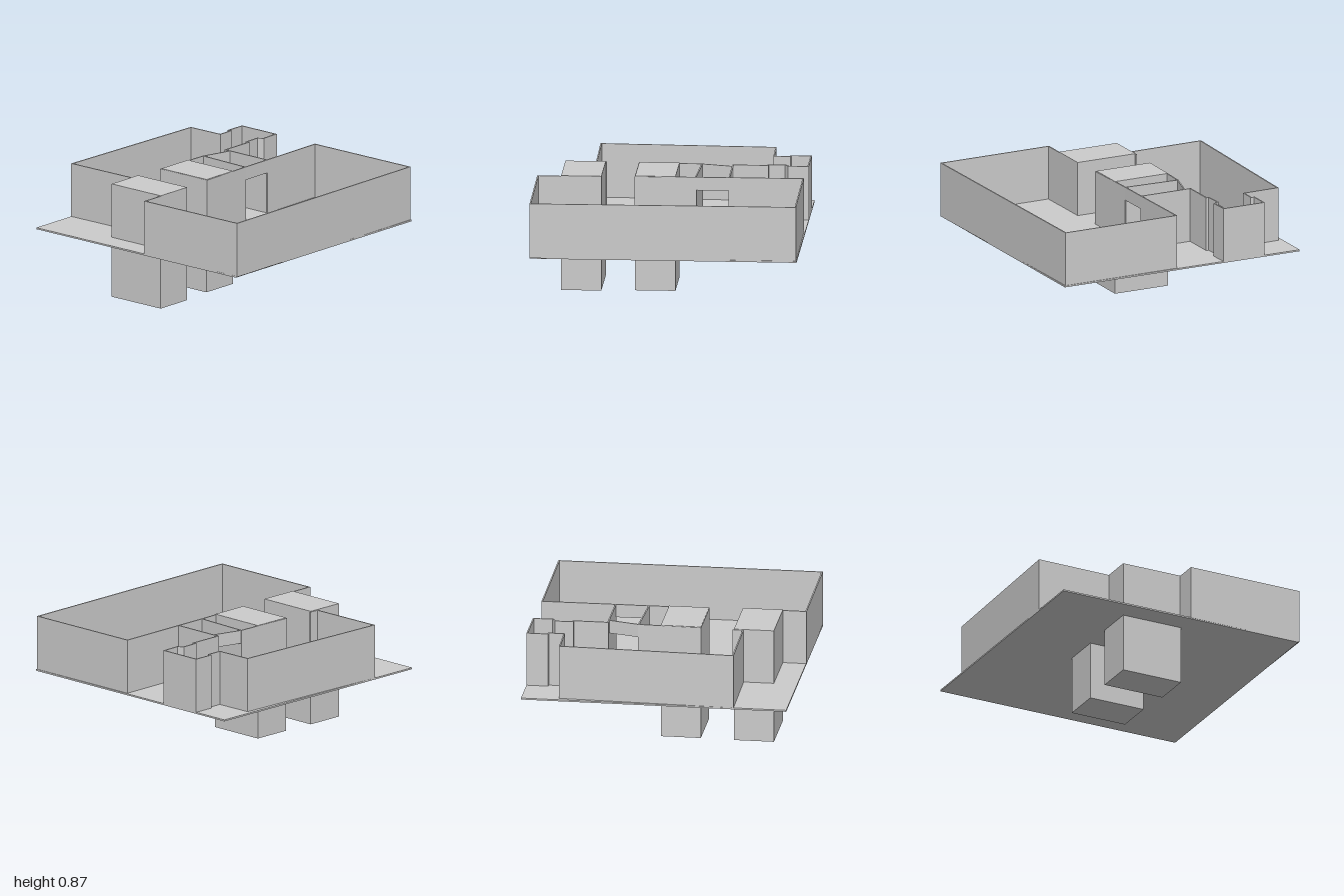
import * as THREE from 'three';

const FLOOR = 0.455, TOP = 0.87, DOOR_TOP = 0.77, THICK = 0.01;

export function createModel() {
  const model = new THREE.Group();
  const material = new THREE.MeshStandardMaterial({ color: 0xcccccc, flatShading: true });

  const add = (name, geometry) => {
    const mesh = new THREE.Mesh(geometry, material);
    mesh.name = name;
    model.add(mesh);
  };

  // Box given by its limits on each axis
  const block = (name, x0, x1, y0, y1, z0, z1) => {
    const g = new THREE.BoxGeometry(x1 - x0, y1 - y0, z1 - z0);
    add(name, g.translate((x0 + x1) / 2, (y0 + y1) / 2, (z0 + z1) / 2));
  };

  // Thin wall with mitred corners along a floor-plan path of [x, z] points
  const wall = (name, path, bottom = FLOOR) => {
    const pts = path.map(([x, z]) => new THREE.Vector2(x, -z));
    const normal = (a, b) => {
      const d = b.clone().sub(a).normalize();
      return new THREE.Vector2(-d.y, d.x);
    };
    const left = [], right = [];
    pts.forEach((p, i) => {
      const before = i > 0 ? normal(pts[i - 1], p) : normal(p, pts[i + 1]);
      const after = i < pts.length - 1 ? normal(p, pts[i + 1]) : before;
      const mitre = before.clone().add(after).normalize();
      mitre.multiplyScalar(THICK / 2 / mitre.dot(before));
      left.push(p.clone().add(mitre));
      right.unshift(p.clone().sub(mitre));
    });
    const g = new THREE.ExtrudeGeometry(new THREE.Shape([...left, ...right]),
      { depth: TOP - bottom, bevelEnabled: false });
    add(name, g.rotateX(-Math.PI / 2).translate(0, bottom, 0));
  };

  // Floor slab and the two shafts passing through it
  block('floor', -0.995, 0.995, 0.448, 0.46, -0.99, 0.975);
  block('leftShaft', -0.27, 0.03, 0, 0.873, -0.39, 0.055);
  block('rightShaft', -0.82, -0.52, 0, 0.873, -0.4, 0.083);

  // Large front room
  wall('frontRoomWall', [[-0.82, 0.08], [-0.993, 0.08], [-0.988, 0.982],
    [0.985, 0.963], [0.98, 0.035], [0.43, 0.043]]);

  // Core room around the left shaft
  wall('coreWall', [[0.18, 0.045], [-0.268, 0.06], [-0.268, -0.393],
    [0.198, -0.383], [0.18, 0.045]]);

  // Corridor side and the stepped outline of the back rooms
  wall('backRoomWall', [[0.43, 0.043], [0.43, -0.368], [0.69, -0.368],
    [0.69, -0.388], [0.82, -0.393], [0.845, -0.353], [0.99, -0.358],
    [0.99, -0.692], [0.838, -0.692], [0.833, -0.667], [0.715, -0.667],
    [0.71, -0.952], [-0.595, -0.985], [-0.588, -0.403], [-0.51, -0.403]]);

  // Lintels over the two ends of the corridor
  wall('frontLintel', [[0.18, 0.045], [0.43, 0.043]], DOOR_TOP);
  wall('backLintel', [[0.198, -0.383], [0.43, -0.32]], DOOR_TOP);

  return model;
}
